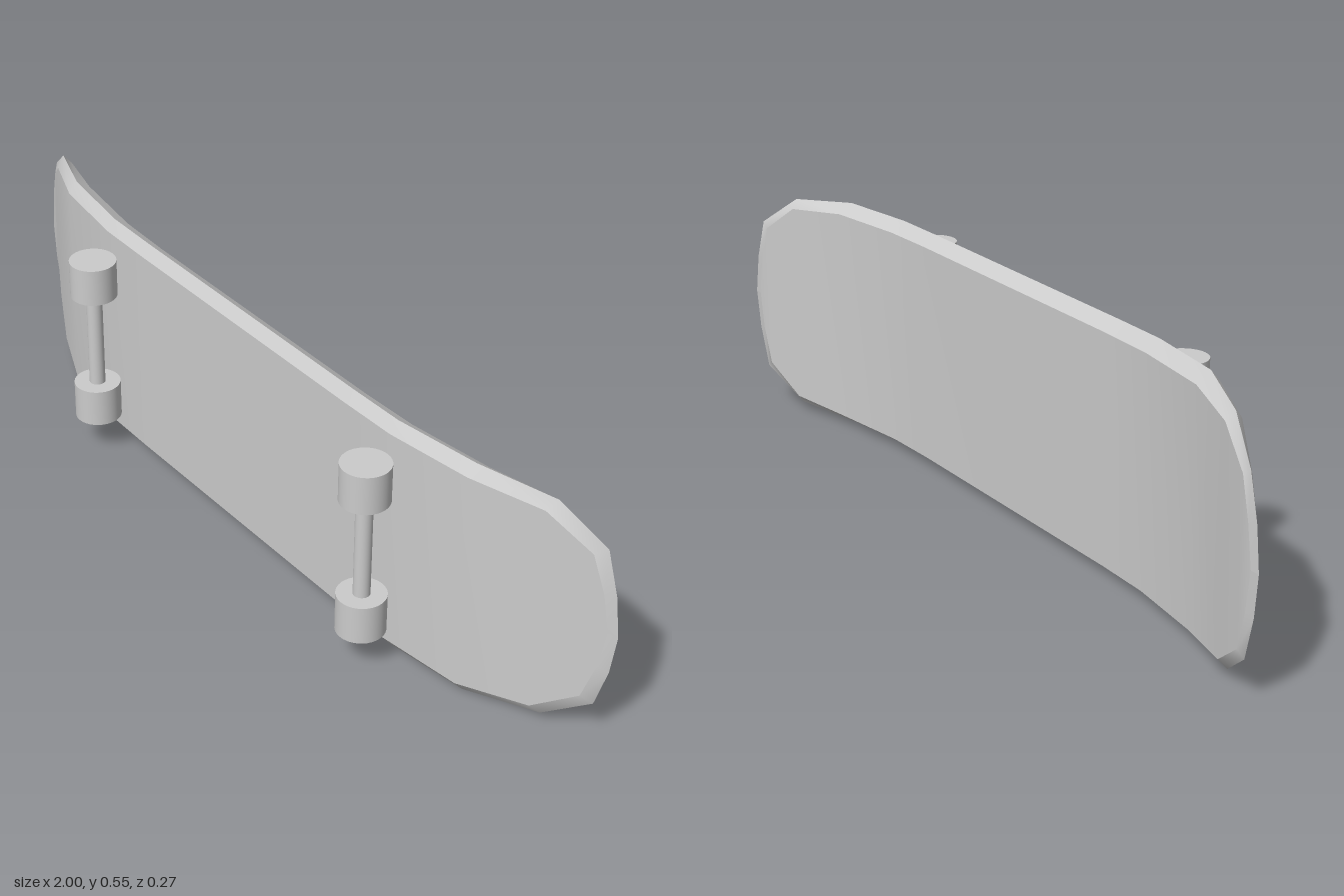
import * as THREE from 'three';

const MID_Y = 0.2725;
const grey = new THREE.MeshStandardMaterial({ color: 0xcccccc });

// Half-outlines from the middle of the deck to the tip: [x, half width, z]
const FRONT = [[0, 0.248, 0.022], [0.36, 0.248, 0.022], [0.5, 0.248, 0.02], [0.7, 0.248, -0.006],
  [0.85, 0.233, -0.068], [0.94, 0.168, -0.112], [0.965, 0.085, -0.124], [0.978, 0, -0.13]];
const RIM = [[0, 0.2725, 0.002], [0.36, 0.2725, 0.002], [0.5, 0.2725, 0], [0.7, 0.2725, -0.027],
  [0.86, 0.255, -0.09], [0.96, 0.183, -0.13], [0.988, 0.09, -0.134], [1, 0, -0.136]];
const BACK = [[0, 0.25, -0.03], [0.36, 0.25, -0.03], [0.5, 0.25, -0.034], [0.7, 0.25, -0.06],
  [0.85, 0.235, -0.106], [0.94, 0.17, -0.132], [0.965, 0.085, -0.136], [0.978, 0, -0.137]];

// Curved deck: six-sided cross-sections lofted from tip to tip, creased along the rim
function deckGeometry() {
  const columns = [];
  const last = FRONT.length - 1;
  for (let i = -last; i <= last; i++) {
    const point = (outline, up) => {
      const [x, y, z] = outline[Math.abs(i)];
      return [Math.sign(i) * x, MID_Y + up * y, z];
    };
    columns.push([point(FRONT, 1), point(FRONT, -1), point(RIM, -1),
      point(BACK, -1), point(BACK, 1), point(RIM, 1)]);
  }
  const positions = [], index = [];
  for (let side = 0; side < 6; side++) {
    const start = positions.length / 3;
    columns.forEach((column, i) => {
      positions.push(...column[side], ...column[(side + 1) % 6]);
      if (i === 0) return;
      const a = start + 2 * (i - 1);
      index.push(a, a + 1, a + 3, a, a + 3, a + 2);
    });
  }
  const geometry = new THREE.BufferGeometry();
  geometry.setAttribute('position', new THREE.Float32BufferAttribute(positions, 3));
  geometry.setIndex(index);
  geometry.computeVertexNormals();
  return geometry;
}

// Upright cylinder between two heights
function cylinder(name, radius, y0, y1) {
  const mesh = new THREE.Mesh(new THREE.CylinderGeometry(radius, radius, y1 - y0, 32), grey);
  mesh.name = name;
  mesh.position.y = (y0 + y1) / 2;
  return mesh;
}

// Axle with a wheel at each end
function createTruck(name, x) {
  const truck = new THREE.Group();
  truck.name = name;
  truck.add(
    cylinder('axle', 0.018, 0.165, 0.4),
    cylinder('lowerWheel', 0.0525, 0.083, 0.17),
    cylinder('upperWheel', 0.0525, 0.397, 0.483));
  truck.position.set(x, 0, 0.0825);
  return truck;
}

export function createModel() {
  const model = new THREE.Group();
  model.name = 'skateboard';
  const deck = new THREE.Mesh(deckGeometry(), grey);
  deck.name = 'deck';
  model.add(deck, createTruck('rightTruck', -0.465), createTruck('leftTruck', 0.508));
  return model;
}
